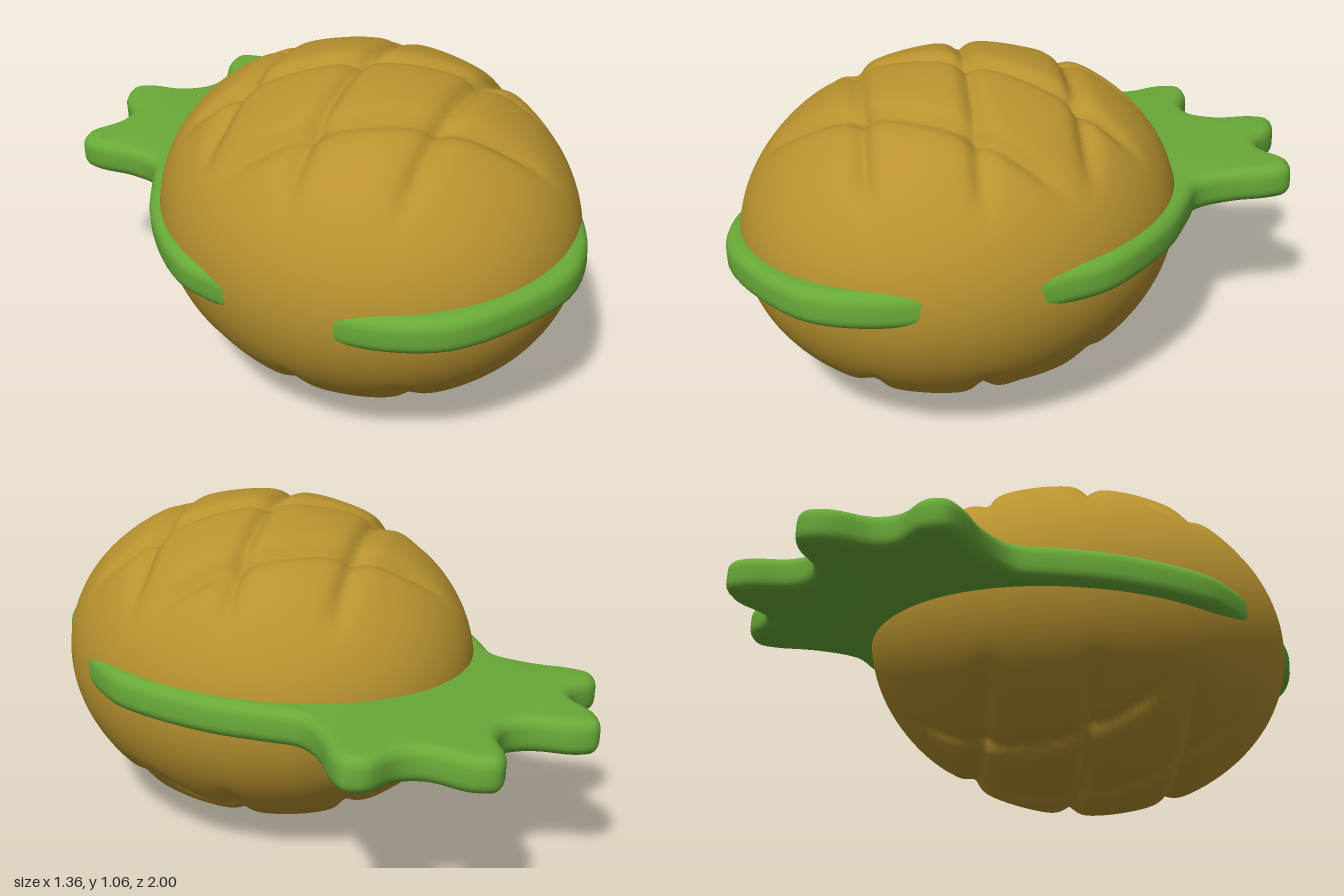
import * as THREE from 'three';
import { mergeVertices, toCreasedNormals } from 'three/addons/utils/BufferGeometryUtils.js';

const rind = new THREE.MeshStandardMaterial({ color: 0xb8922f });
rind.name = 'golden rind';
const leaf = new THREE.MeshStandardMaterial({ color: 0x69aa38 });
leaf.name = 'leaf green';

// Groove depth over the diamond lattice, fading out towards the rim
function grooveDepth(x, z) {
  const u = x / 0.32, v = (z - 0.2) / 0.2;
  const r = Math.hypot(x / 0.65, (z - 0.22) / 0.735);
  const fade = 1 - THREE.MathUtils.smoothstep(r, 0.7, 0.92);
  let depth = 0;
  for (const e of [u + v, u - v]) {
    const line = THREE.MathUtils.clamp(2 * Math.round(e / 2), -2, 2);
    const d = Math.abs(e - line) / 5.9;
    depth += 0.03 * Math.exp(-Math.pow(d / 0.03, 1.5));
  }
  return depth * fade;
}

// Plump fruit body, an ellipsoid with grooves pressed in along its normals
function makeBody() {
  const a = 0.65, b = 0.535, c = 0.735;
  let geo = new THREE.SphereGeometry(1, 220, 130);
  geo.deleteAttribute('uv');
  geo.deleteAttribute('normal');
  geo = mergeVertices(geo);
  const pos = geo.attributes.position;
  const p = new THREE.Vector3(), n = new THREE.Vector3();
  for (let i = 0; i < pos.count; i++) {
    p.fromBufferAttribute(pos, i);
    n.set(p.x / a, p.y / b, p.z / c).normalize();
    p.set(p.x * a, p.y * b, p.z * c + 0.22);
    p.addScaledVector(n, -grooveDepth(p.x, p.z));
    pos.setXYZ(i, p.x, p.y + 0.536, p.z);
  }
  geo.computeVertexNormals();
  const mesh = new THREE.Mesh(geo, rind);
  mesh.name = 'fruitBody';
  return mesh;
}

// Rounded plate: a belt around the fruit that grows into the leafy crown
function makeLeafPlate() {
  const half = [
    [0.22, 0.965], [0.37, 0.86], [0.48, 0.71], [0.59, 0.5], [0.66, 0.3], [0.68, 0.18], [0.65, 0],
    [0.59, -0.17], [0.51, -0.31], [0.455, -0.41], [0.49, -0.54], [0.555, -0.65], [0.57, -0.72],
    [0.52, -0.77], [0.4, -0.775], [0.335, -0.82], [0.295, -0.94], [0.23, -1], [0.165, -0.97], [0.085, -0.87],
  ];
  const mirrored = half.map(([x, z]) => [-x, z]).reverse();
  const outline = [[0, 0.995], ...half, [0, -0.835], ...mirrored].map(([x, z]) => new THREE.Vector3(x, z, 0));
  const curve = new THREE.CatmullRomCurve3(outline, true);
  const points = curve.getPoints(168).slice(0, -1).map((q) => new THREE.Vector2(q.x, q.y));
  let geo = new THREE.ExtrudeGeometry(new THREE.Shape(points), {
    depth: 0.04, bevelEnabled: true, bevelThickness: 0.04, bevelSize: 0.04, bevelOffset: -0.04, bevelSegments: 5,
  });
  geo.translate(0, 0, -0.02);
  geo.rotateX(Math.PI / 2);
  geo = toCreasedNormals(geo, 0.8);
  const mesh = new THREE.Mesh(geo, leaf);
  mesh.name = 'leafBeltAndCrown';
  mesh.position.y = 0.543;
  mesh.rotation.z = 0.055;
  return mesh;
}

export function createModel() {
  const model = new THREE.Group();
  model.name = 'pineapple';
  model.add(makeBody(), makeLeafPlate());
  return model;
}
